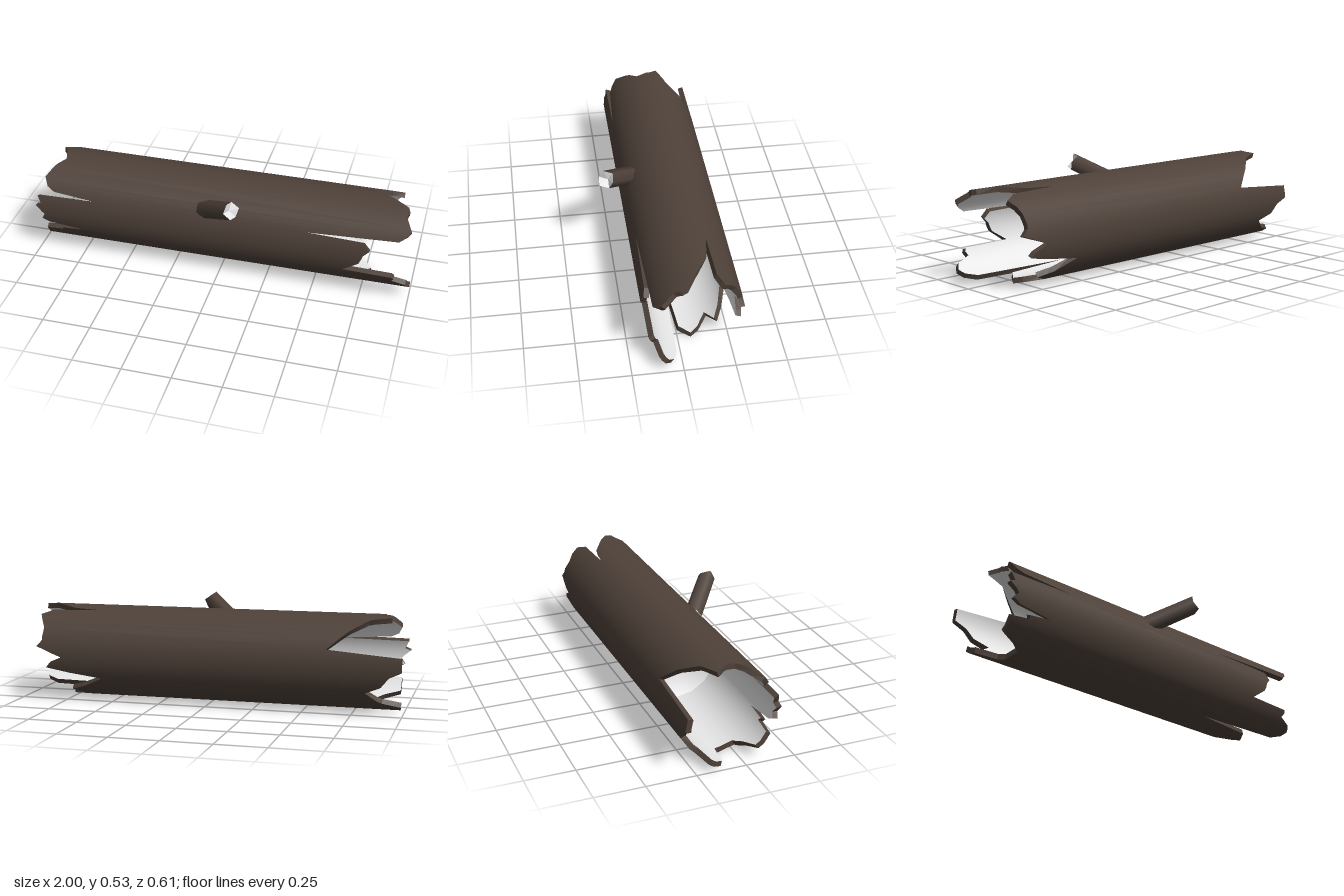
import * as THREE from 'three';

const CY = 0.245, CZ = -0.065, OUTER = 0.243, INNER = 0.215, STEP = 22.5;
const rad = THREE.MathUtils.degToRad;

// Broken ends as [degrees from the top towards the front, x]
const leftEnd = [[-180, -.84], [-170, -.86], [-166, -.98], [-150, -.99], [-140, -.9], [-122, -.82], [-112, -.9],
  [-100, -.94], [-93, -1], [-76, -1], [-69, -.63], [-52, -.7], [-25, -.82], [-15, -.93], [-4, -.9], [13, -.88],
  [28, -.93], [43, -.96], [55, -.94], [61, -.9], [67, -.63], [68.5, -.99], [79, -.97], [82, -1], [91, -.96],
  [94, -.95], [101, -.97], [106, -.93], [111, -.75], [114, -.87], [118, -.86], [121, -.96], [143, -.96],
  [152, -.88], [161, -.83], [180, -.84]];
const rightEnd = [[-180, .78], [-170, .75], [-157, .665], [-145, .74], [-120, .55], [-107, .85], [-101, .83],
  [-93, .76], [-80, .9], [-72, .87], [-55, .87], [-34, .91], [-25, .85], [-23, .6], [-18, .74], [-4, .84],
  [13, .95], [20, .96], [28, .95], [46, .985], [52, .97], [60, .93], [65, .39], [68, .76], [77, .79], [84, .76],
  [96, .74], [110, .66], [112, .91], [116, .92], [122, .91], [130, .98], [140, 1], [148, .98], [155, .92],
  [158, .4], [165, .74], [180, .78]];

// Linear lookup of the end profile
function endX(list, a) {
  const i = Math.max(1, list.findIndex(p => p[0] >= a));
  const [a0, x0] = list[i - 1], [a1, x1] = list[i];
  return x0 + (x1 - x0) * (a - a0) / (a1 - a0);
}

// Point on a sixteen-sided ring
function ring(x, a, radius) {
  const off = ((a % STEP) + STEP) % STEP - STEP / 2;
  const r = radius * Math.cos(rad(STEP / 2)) / Math.cos(rad(off));
  return new THREE.Vector3(x, CY + r * Math.cos(rad(a)), CZ + r * Math.sin(rad(a)));
}
const radial = (a, s = 1, x = 0) =>
  new THREE.Vector3(x, s * Math.cos(rad(a)), s * Math.sin(rad(a))).normalize();

// Collects polygons; flat unless normals are given
class Surface {
  pos = []; nor = [];
  poly(pts, normals) {
    for (let i = 1; i < pts.length - 1; i++) {
      const flat = new THREE.Vector3().crossVectors(
        pts[i].clone().sub(pts[0]), pts[i + 1].clone().sub(pts[0])).normalize();
      for (const k of [0, i, i + 1]) {
        this.pos.push(...pts[k].toArray());
        this.nor.push(...(normals ? normals[k] : flat).toArray());
      }
    }
  }
  mesh(name, material) {
    const g = new THREE.BufferGeometry();
    g.setAttribute('position', new THREE.Float32BufferAttribute(this.pos, 3));
    g.setAttribute('normal', new THREE.Float32BufferAttribute(this.nor, 3));
    const m = new THREE.Mesh(g, material);
    m.name = name;
    return m;
  }
}

export function createModel() {
  const bark = new THREE.MeshStandardMaterial({ color: 0x4e4139 });
  bark.name = 'dark brown bark';
  const wood = new THREE.MeshStandardMaterial({ color: 0xe7e7e7 });
  wood.name = 'pale inner wood';

  const model = new THREE.Group();
  model.name = 'hollowLog';

  // Columns at every profile corner and every side of the log
  const set = new Set([...leftEnd, ...rightEnd].map(p => p[0]));
  for (let a = -180; a <= 180; a += STEP) set.add(a);
  const angles = [...set].sort((p, q) => p - q);

  const shell = new Surface(), rims = new Surface(), hollow = new Surface(), caps = new Surface();
  const depth = 0.3;
  for (let i = 0; i < angles.length - 1; i++) {
    const a = angles[i], b = angles[i + 1];
    const la = endX(leftEnd, a), lb = endX(leftEnd, b);
    const ra = endX(rightEnd, a), rb = endX(rightEnd, b);
    const na = radial(a), nb = radial(b), ia = radial(a, -1), ib = radial(b, -1);
    // Bark
    shell.poly([ring(la, a, OUTER), ring(lb, b, OUTER), ring(rb, b, OUTER), ring(ra, a, OUTER)], [na, nb, nb, na]);
    // Splintered edges
    rims.poly([ring(ra, a, OUTER), ring(rb, b, OUTER), ring(rb, b, INNER), ring(ra, a, INNER)]);
    rims.poly([ring(la, a, INNER), ring(lb, b, INNER), ring(lb, b, OUTER), ring(la, a, OUTER)]);
    // Inner walls
    hollow.poly([ring(depth, a, INNER), ring(ra, a, INNER), ring(rb, b, INNER), ring(depth, b, INNER)], [ia, ia, ib, ib]);
    hollow.poly([ring(la, a, INNER), ring(-depth, a, INNER), ring(-depth, b, INNER), ring(lb, b, INNER)], [ia, ia, ib, ib]);
    // Floors deep inside both hollows, shaded softly into the walls
    for (const s of [1, -1]) {
      const pts = [new THREE.Vector3(s * depth, CY, CZ), ring(s * depth, a, INNER), ring(s * depth, b, INNER)];
      const n = [new THREE.Vector3(s, 0, 0), radial(a, -1, s * 0.7), radial(b, -1, s * 0.7)];
      if (s < 0) { pts.reverse(); n.reverse(); }
      caps.poly(pts, n);
    }
  }
  model.add(shell.mesh('bark', bark), rims.mesh('splinteredEdges', bark),
    hollow.mesh('hollowWalls', wood), caps.mesh('hollowFloors', wood));

  // Broken branch stub with a sunken pale end
  const base = new THREE.Vector3(-0.085, 0.372, 0.112), tip = new THREE.Vector3(0.1, 0.492, 0.268);
  const dir = tip.clone().sub(base).normalize();
  const u = new THREE.Vector3(0, 1, 0).cross(dir).normalize(), v = dir.clone().cross(u);
  const jag = [0.005, -0.012, 0.012, -0.004, 0.01, -0.012];
  const spoke = k => u.clone().multiplyScalar(Math.cos(k * Math.PI / 3))
    .addScaledVector(v, Math.sin(k * Math.PI / 3));
  const low = k => base.clone().addScaledVector(spoke(k), 0.048);
  const high = k => tip.clone().addScaledVector(spoke(k), 0.046).addScaledVector(dir, jag[k % 6]);
  const stub = new Surface(), stubEnd = new Surface();
  const pit = tip.clone().addScaledVector(dir, -0.02);
  for (let k = 0; k < 6; k++) {
    const n = spoke(k), m = spoke(k + 1);
    stub.poly([low(k), low(k + 1), high(k + 1), high(k)], [n, m, m, n]);
    stubEnd.poly([pit, high(k), high(k + 1)]);
  }
  model.add(stub.mesh('branchStub', bark), stubEnd.mesh('branchEnd', wood));
  return model;
}
